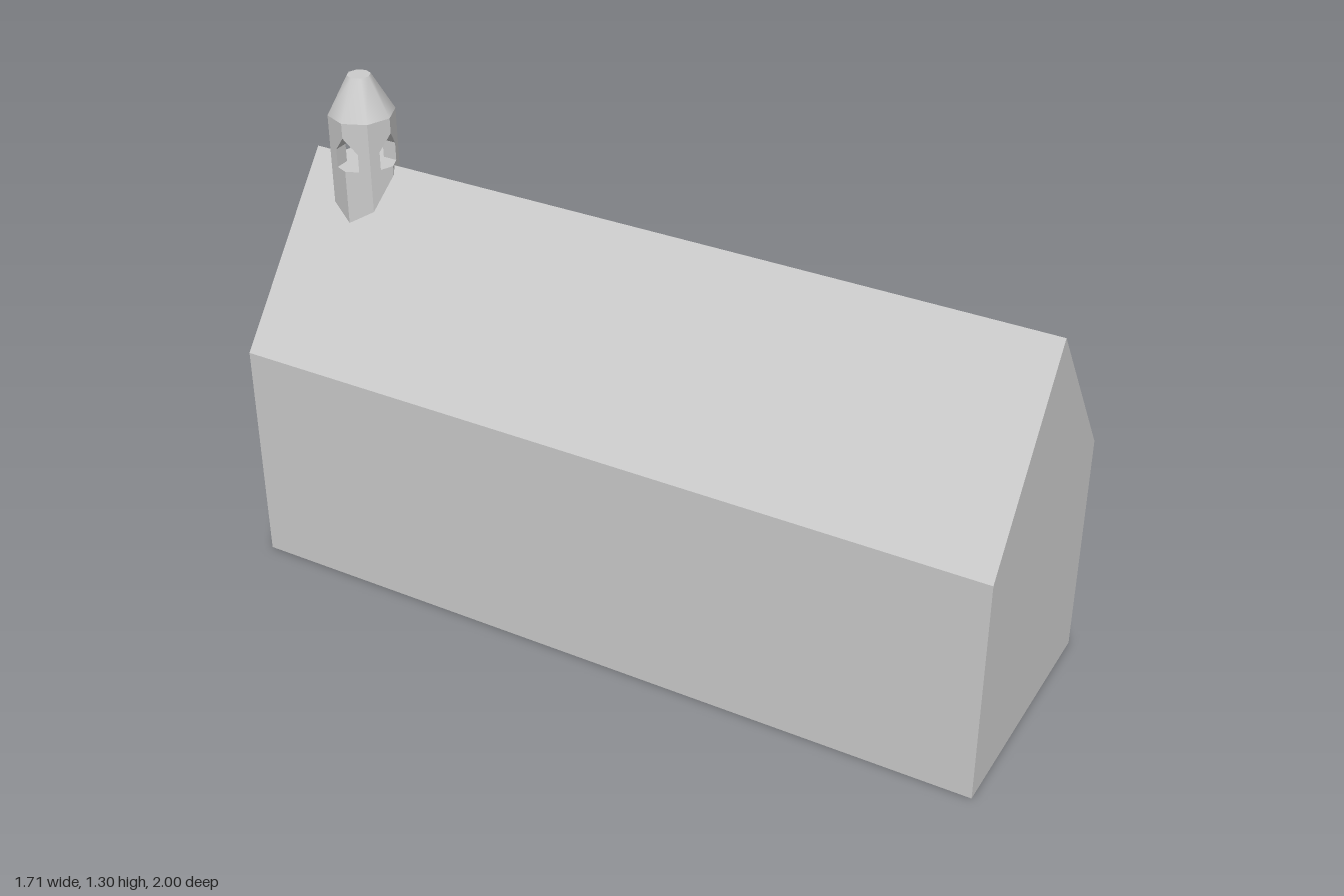
import * as THREE from 'three';

const stone = new THREE.MeshStandardMaterial({ color: 0xcccccc });
stone.name = 'pale stone';

// Footprint corners [x, z]: back gable pair, then front gable pair
const BACK = [[-0.855, -0.655], [-0.3, -1.0]];
const FRONT = [[0.318, 0.998], [0.853, 0.617]];
const EAVE = 0.612, RIDGE = 1.065;
const WIDTH = 0.65, RECESS = 0.015;

const lerp = THREE.MathUtils.lerp;

// Place a unit block (x across, z along) onto the slightly skewed footprint
function toFootprint(geo) {
  const p = geo.attributes.position;
  for (let i = 0; i < p.count; i++) {
    const u = p.getX(i) / WIDTH + 0.5, v = p.getZ(i);
    const at = k => lerp(lerp(BACK[0][k], BACK[1][k], u), lerp(FRONT[0][k], FRONT[1][k], u), v);
    p.setXYZ(i, at(0), p.getY(i), at(1));
  }
  geo.computeVertexNormals();
  return geo;
}

function add(group, name, geo) {
  const mesh = new THREE.Mesh(geo, stone);
  mesh.name = name;
  group.add(mesh);
  return mesh;
}

const shapeOf = pts => new THREE.Shape(pts.map(([x, y]) => new THREE.Vector2(x, y)));

// Rows of four-cornered cross-sections joined into a closed solid
function loft(rows) {
  const pos = [];
  const quad = (a, b, c, d) => pos.push(...a, ...b, ...c, ...a, ...c, ...d);
  for (let r = 0; r < rows.length - 1; r++) {
    for (let i = 0; i < 4; i++) {
      const j = (i + 1) % 4;
      quad(rows[r][i], rows[r][j], rows[r + 1][j], rows[r + 1][i]);
    }
  }
  const top = rows[rows.length - 1], low = rows[0];
  quad(top[0], top[1], top[2], top[3]);
  quad(low[3], low[2], low[1], low[0]);
  const geo = new THREE.BufferGeometry();
  geo.setAttribute('position', new THREE.Float32BufferAttribute(pos, 3));
  geo.computeVertexNormals();
  return geo;
}

function flatCylinder(rTop, rBottom, y0, y1) {
  const geo = new THREE.CylinderGeometry(rTop, rBottom, y1 - y0, 8).toNonIndexed();
  geo.translate(0, (y0 + y1) / 2, 0);
  geo.computeVertexNormals();
  return geo;
}

function createTurret() {
  const turret = new THREE.Group();
  turret.name = 'bellTurret';
  const R = 0.085, D = R * Math.SQRT1_2;
  add(turret, 'turretBase', flatCylinder(R, R, 0.9, 1.07));

  // Four piers that widen upward into crossing pointed arches
  const section = (y, w) => {
    const e = R - (R - D) * w / D;
    return [[w, y, w], [w, y, e], [D, y, D], [e, y, w]];
  };
  const pierGeo = loft([section(1.07, 0.033), section(1.118, 0.033), section(1.16, 0)]);
  for (let i = 0; i < 4; i++) add(turret, 'turretPier', pierGeo).rotation.y = i * Math.PI / 2;

  add(turret, 'turretLintel', flatCylinder(R, R, 1.16, 1.2));
  const cap = new THREE.CylinderGeometry(0.03, R, 0.1, 8);
  cap.translate(0, 1.25, 0);
  add(turret, 'turretCap', cap);

  turret.position.set(-0.497, 0, -0.69);
  turret.rotation.y = 0.616;
  return turret;
}

export function createModel() {
  const model = new THREE.Group();
  model.name = 'chapel';
  const h = WIDTH / 2;

  // Long hall with a steep gabled roof
  const hall = new THREE.ExtrudeGeometry(
    shapeOf([[-h, 0], [h, 0], [h, EAVE], [0, RIDGE], [-h, EAVE]]),
    { depth: 1 - RECESS, bevelEnabled: false });
  hall.translate(0, 0, RECESS);
  add(model, 'hall', toFootprint(hall));

  // Entrance wall with a doorway notch and recessed windows
  const wall = shapeOf([[-h, 0], [-0.05, 0], [-0.05, 0.28], [0.05, 0.28], [0.05, 0],
    [h, 0], [h, EAVE], [0, RIDGE], [-h, EAVE]]);
  for (const [x, w, y0, y1] of [[0, 0.13, 0.41, 0.86], [-0.2, 0.088, 0.19, 0.42], [0.2, 0.088, 0.19, 0.42]]) {
    wall.holes.push(shapeOf([[x - w / 2, y0], [x - w / 2, y1], [x + w / 2, y1], [x + w / 2, y0]]));
  }
  const entrance = new THREE.ExtrudeGeometry(wall, { depth: RECESS, bevelEnabled: false });
  add(model, 'entranceWall', toFootprint(entrance));

  model.add(createTurret());
  return model;
}
